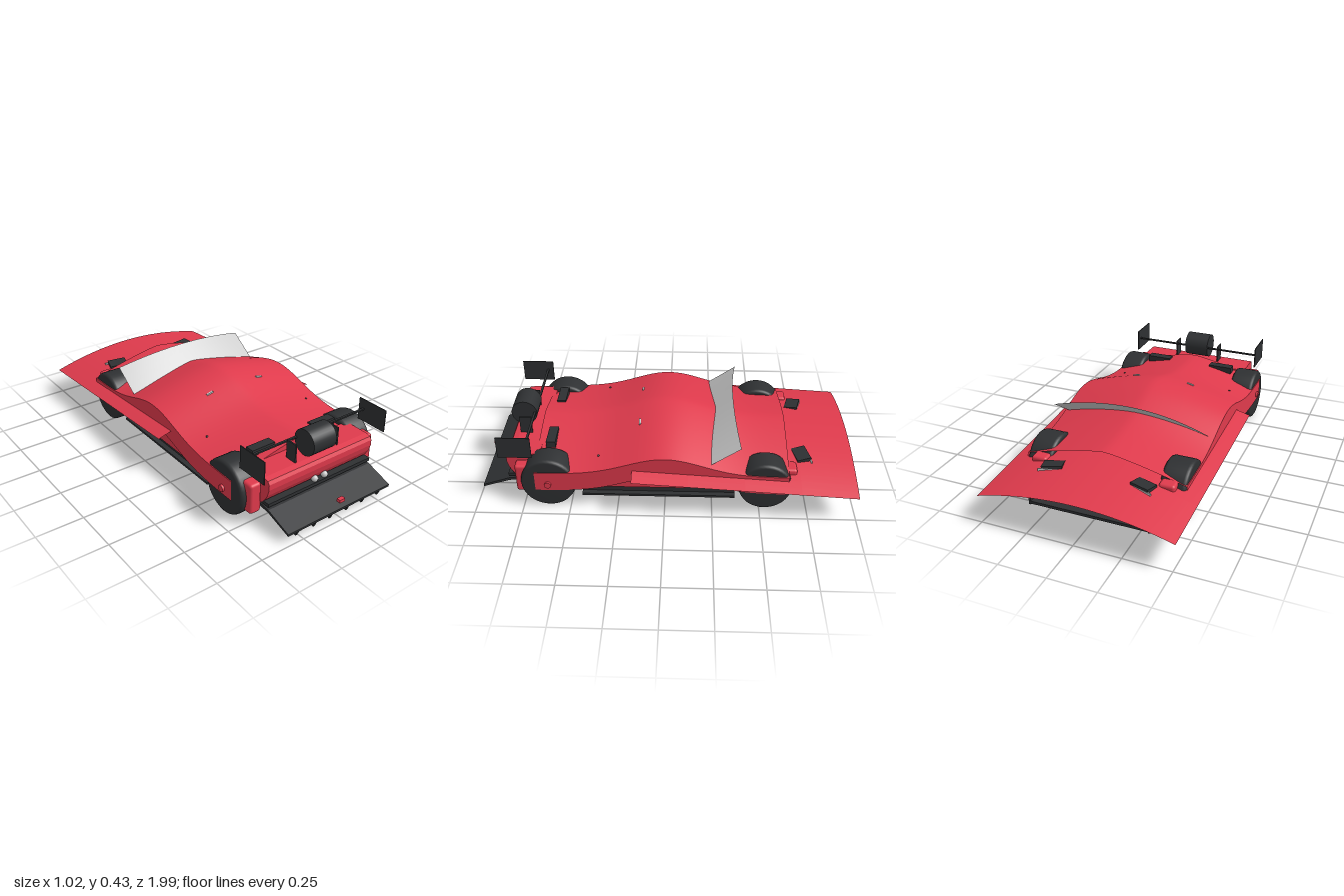
import * as THREE from 'three';
import { RoundedBoxGeometry } from 'three/addons/geometries/RoundedBoxGeometry.js';

const mat = (color) => new THREE.MeshStandardMaterial({ color, side: THREE.DoubleSide });

export function createModel() {
  const model = new THREE.Group();
  const red = mat(0xdf3a4c), dark = mat(0x2e3032), grey = mat(0xcccccc);

  const add = (name, geo, material, x = 0, y = 0, z = 0) => {
    const mesh = new THREE.Mesh(geo, material);
    mesh.name = name;
    mesh.position.set(x, y, z);
    model.add(mesh);
    return mesh;
  };
  // box given by its limits
  const box = (name, material, x0, x1, y0, y1, z0, z1) =>
    add(name, new THREE.BoxGeometry(x1 - x0, y1 - y0, z1 - z0), material,
      (x0 + x1) / 2, (y0 + y1) / 2, (z0 + z1) / 2);
  // sheet from a rule f(u, v) -> [x, y, z]
  const sheet = (name, material, nu, nv, f) => {
    const geo = new THREE.PlaneGeometry(1, 1, nu, nv);
    const p = geo.attributes.position;
    for (let i = 0; i < p.count; i++) p.setXYZ(i, ...f(p.getX(i) + 0.5, 0.5 - p.getY(i)));
    geo.computeVertexNormals();
    return add(name, geo, material);
  };
  // side profile in (z, y), extruded across x
  const profile = (name, material, points, x0, x1) => {
    const shape = new THREE.Shape(points.map(([z, y]) => new THREE.Vector2(-z, y)));
    const geo = new THREE.ExtrudeGeometry(shape, { depth: x1 - x0, bevelEnabled: false });
    geo.rotateY(Math.PI / 2);
    return add(name, geo, material, x0);
  };

  // body shell: one arched sheet with vertical side skirts
  const W = 0.433, Z0 = -0.645, Z1 = 0.68;
  const lerp = THREE.MathUtils.lerp;
  const shellY = (x, z) => 0.312 + 0.105 * Math.exp(-((z / 0.28) ** 2))
    - 0.095 * Math.pow(Math.abs(x) / W, 1.3);
  sheet('bodyShell', red, 32, 48, (u, v) => {
    const x = lerp(-W, W, u), z = lerp(Z0, Z1, v);
    return [x, shellY(x, z), z];
  });
  for (const s of [-1, 1]) {
    sheet('sideSkirt', red, 48, 1, (u, v) => {
      const z = lerp(Z0, Z1, u);
      return [s * W, shellY(W, z) - 0.11 * v, z];
    });
  }
  sheet('frontBulkhead', red, 24, 1, (u, v) => {
    const x = lerp(-0.29, 0.29, u);
    return [x, lerp(0.14, shellY(x, Z1), v), Z1];
  });

  // wide curved wing running out from under the shell
  const wingY = (x, z) => 0.289 + 0.064 * z - 0.075 * (x / 0.51) ** 2;
  sheet('tailWing', red, 24, 4, (u, v) => {
    const x = lerp(-0.51, 0.51, u), z = lerp(-1, 0.17, v);
    return [x, wingY(x, z), z];
  });

  // windscreen
  sheet('windscreen', grey, 20, 3, (u, v) => {
    const x = lerp(-0.41, 0.41, u), t = (x / 0.41) ** 2;
    return [x, lerp(0.43 - 0.05 * t, 0.33 - 0.055 * t, v), lerp(-0.36 - 0.03 * t, -0.24, v)];
  });

  // floor and splitter
  box('floor', dark, -0.37, 0.37, 0.05, 0.19, -0.37, 0.44);
  box('floorEnd', dark, -0.285, 0.285, 0.05, 0.19, 0.44, 0.7);
  box('floorEnd', dark, -0.285, 0.285, 0.05, 0.19, -0.64, -0.37);
  box('splitter', dark, -0.32, 0.32, 0.055, 0.07, -0.84, -0.6);
  box('splitterFlap', dark, -0.32, 0.32, 0.085, 0.095, -0.79, -0.64);

  // front fascia with a face that curves under
  profile('fascia', red, [[0.66, 0.268], [0.8, 0.268], [0.83, 0.262], [0.84, 0.245],
    [0.84, 0.215], [0.83, 0.18], [0.81, 0.145], [0.78, 0.115], [0.66, 0.115]], -0.335, 0.335);
  box('fasciaBar', dark, -0.335, 0.335, 0.12, 0.138, 0.79, 0.84);

  // diffuser tray
  profile('diffuserTray', dark, [[0.68, 0.125], [0.84, 0.105], [0.985, 0.055],
    [0.985, 0.043], [0.84, 0.09], [0.68, 0.11]], -0.335, 0.335);
  for (const x of [-0.27, -0.16, -0.055, 0.055, 0.16, 0.27]) {
    profile('diffuserFin', dark, [[0.74, 0.11], [0.985, 0.05], [0.97, 0.012], [0.74, 0.08]],
      x - 0.006, x + 0.006);
  }
  box('fogLight', red, -0.017, 0.017, 0.094, 0.111, 0.968, 0.99);

  // roll drum on the carrier beam
  const drum = add('drum', new THREE.CylinderGeometry(0.07, 0.07, 0.145, 32), dark, 0, 0.35, 0.78);
  drum.rotation.z = Math.PI / 2;
  box('carrierBeam', dark, -0.39, 0.39, 0.35, 0.358, 0.716, 0.728);

  // small cylinder, axis along x or z
  const rod = (name, material, r, len, axis, x, y, z) => {
    const m = add(name, new THREE.CylinderGeometry(r, r, len, 24), material, x, y, z);
    m.rotation[axis === 'x' ? 'z' : 'x'] = Math.PI / 2;
    return m;
  };

  // paired parts
  for (const s of [-1, 1]) {
    // wheels with rounded shoulders
    for (const z of [0.612, -0.525]) {
      const r = z > 0 ? 0.145 : 0.14;
      const tyre = new THREE.LatheGeometry([[0, -0.068], [r * 0.9, -0.068], [r * 0.97, -0.062],
        [r, -0.05], [r, 0.05], [r * 0.97, 0.062], [r * 0.9, 0.068], [0, 0.068]]
        .map(([a, b]) => new THREE.Vector2(a, b)), 40);
      add('wheel', tyre, dark, s * 0.361, 0.145, z).rotation.z = Math.PI / 2;
      if (z > 0) rod('wheelHub', red, 0.018, 0.03, 'x', s * 0.43, 0.145, z);
    }
    const side = (name, material, a, b, ...rest) =>
      box(name, material, Math.min(s * a, s * b), Math.max(s * a, s * b), ...rest);
    side('carrierPlate', dark, 0.386, 0.391, 0.285, 0.408, 0.69, 0.868);
    side('carrierPost', dark, 0.132, 0.14, 0.262, 0.366, 0.73, 0.795);
    side('vent', dark, 0.13, 0.27, 0.265, 0.302, 0.585, 0.635);
    side('sidePod', red, 0.3, 0.41, 0.12, 0.21, -0.11, 0.36);
    side('floorEdge', dark, 0.36, 0.4, 0.05, 0.062, -0.37, 0.44);
    side('splitterPlate', dark, 0.315, 0.325, 0.05, 0.1, -0.84, -0.66);

    const guard = new RoundedBoxGeometry(0.065, 0.165, 0.14, 3, 0.015);
    add('wheelGuard', guard, red, s * 0.368, 0.153, 0.718);
    add('brakeDuct', new RoundedBoxGeometry(0.085, 0.12, 0.07, 3, 0.015), red,
      s * 0.345, 0.172, -0.655);

    // lamps set into the wing
    const lamp = add('lamp', new THREE.BoxGeometry(0.105, 0.075, 0.075), dark, s * 0.24, 0.2, -0.725);
    lamp.rotation.set(0.12, s * 0.25, s * -0.08);
    const lens = add('lampLens', new THREE.BoxGeometry(0.1, 0.06, 0.008), grey, s * 0.25, 0.198, -0.764);
    lens.rotation.copy(lamp.rotation);

    // exhausts and small shell fittings
    add('exhaust', new THREE.SphereGeometry(0.018, 20, 14), grey, s * 0.032, 0.153, 0.825);
    const fin = add('shellFitting', new THREE.BoxGeometry(0.04, 0.012, 0.01), grey,
      s * 0.165, shellY(0.165, 0.14), 0.14);
    fin.rotation.z = s * -0.25;
    add('shellStud', new THREE.SphereGeometry(0.006, 10, 8), dark, s * 0.335, shellY(0.335, 0.35), 0.35);
  }
  return model;
}
